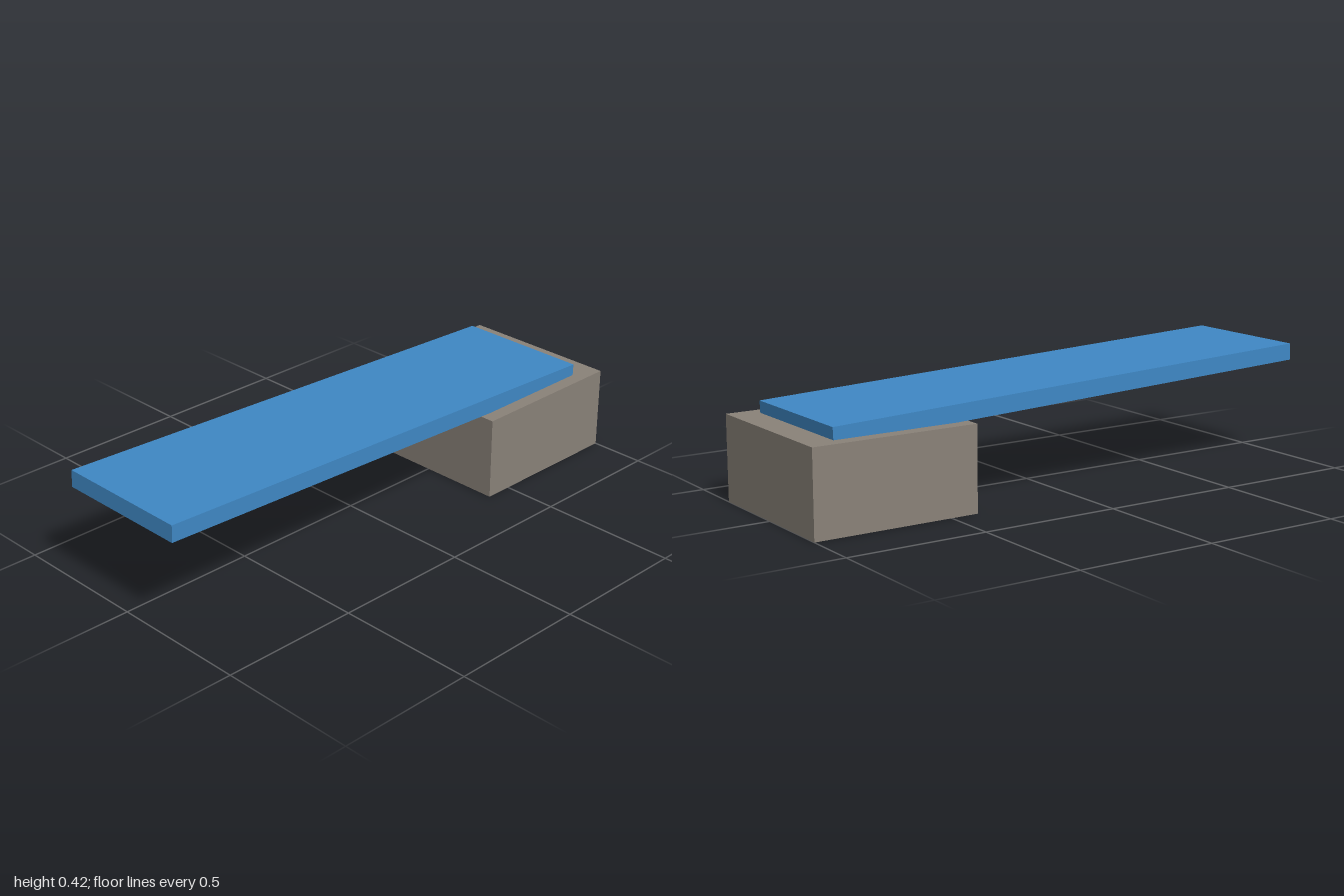
import * as THREE from 'three';

export function createModel() {
  const model = new THREE.Group();
  model.name = 'divingBoard';

  const stone = new THREE.MeshStandardMaterial({ color: 0x8a8279 });
  stone.name = 'warm grey';
  const blue = new THREE.MeshStandardMaterial({ color: 0x3f88c5 });
  blue.name = 'board blue';

  const addBox = (name, size, position, material) => {
    const mesh = new THREE.Mesh(new THREE.BoxGeometry(...size), material);
    mesh.name = name;
    mesh.position.set(...position);
    model.add(mesh);
    return mesh;
  };

  // Solid block at the back
  addBox('base', [0.6, 0.3, 0.6], [0, 0.15, -0.7], stone);

  // Long plank, rising slightly to the front and sunk into the base at the back
  const board = addBox('board', [0.5, 0.06, 1.9], [0, 0.35, 0.05], blue);
  board.rotation.x = -0.04;

  return model;
}
